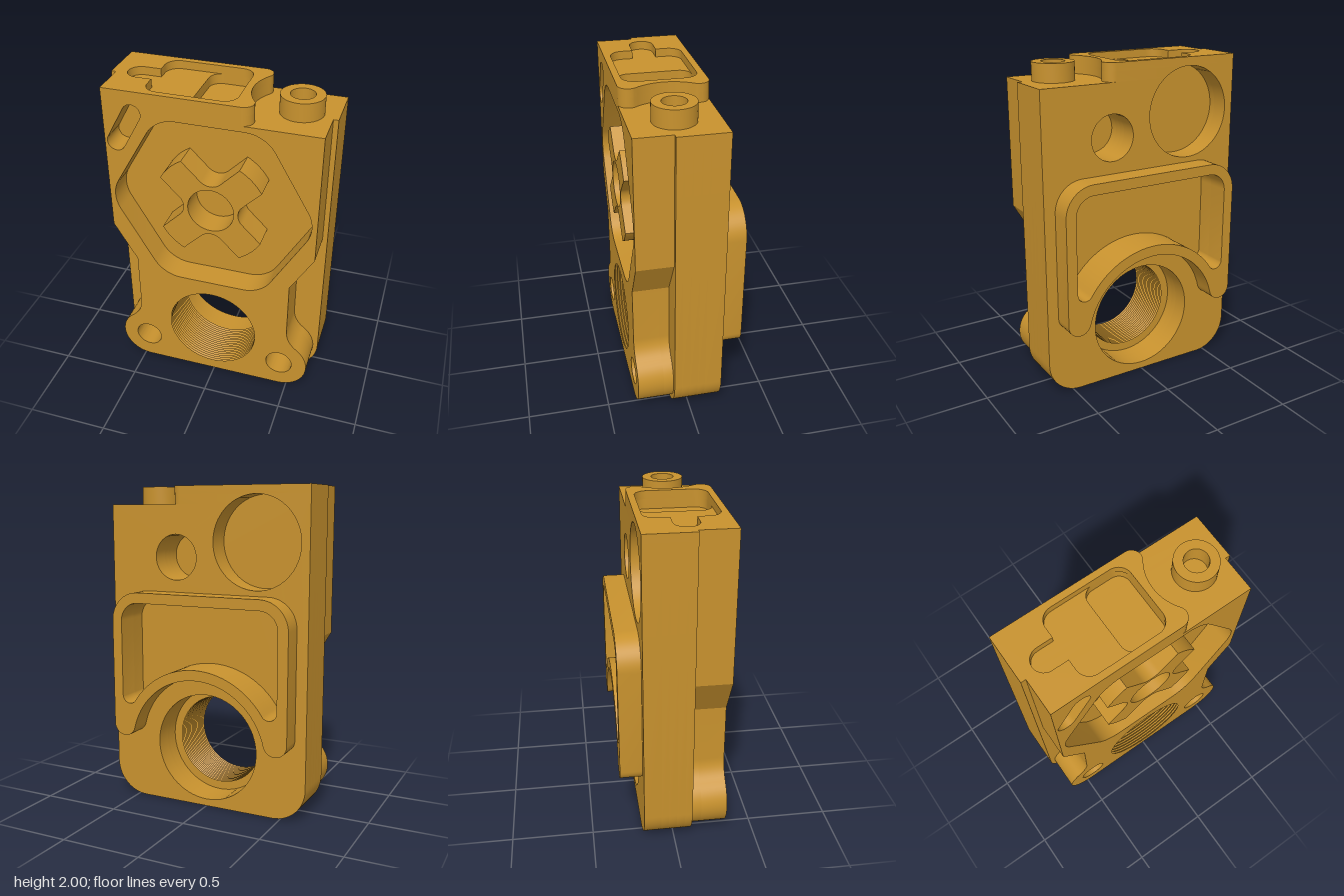
import * as THREE from 'three';
import { toCreasedNormals } from 'three/addons/utils/BufferGeometryUtils.js';

const PI = Math.PI;
const BORE_Y = 0.385; // height of the threaded bore
const FACE_Y = 1.31;  // height of the front pocket centre

// Points along an arc
function arc(cx, cy, r, a0, a1, n = 14) {
  return Array.from({ length: n + 1 }, (_, i) => {
    const a = a0 + (a1 - a0) * i / n;
    return [cx + r * Math.cos(a), cy + r * Math.sin(a)];
  });
}
const circle = (x, y, r) => arc(x, y, r, 0, 2 * PI, 64).slice(0, -1);
const mirror = pts => pts.map(([x, y]) => [-x, y]).reverse();

// Closed polygon with every corner rounded by r
function rounded(pts, r, n = 10) {
  return pts.flatMap((p, i) => {
    const c = new THREE.Vector2(...p);
    const u = new THREE.Vector2(...pts[(i + pts.length - 1) % pts.length]).sub(c).normalize();
    const v = new THREE.Vector2(...pts[(i + 1) % pts.length]).sub(c).normalize();
    const half = Math.acos(u.dot(v)) / 2;
    const m = u.clone().add(v).normalize().multiplyScalar(r / Math.sin(half)).add(c);
    const t0 = u.multiplyScalar(r / Math.tan(half)).add(c).sub(m);
    const t1 = v.multiplyScalar(r / Math.tan(half)).add(c).sub(m);
    const a0 = Math.atan2(t0.y, t0.x);
    let d = Math.atan2(t1.y, t1.x) - a0;
    if (d > PI) d -= 2 * PI;
    if (d < -PI) d += 2 * PI;
    return arc(m.x, m.y, r, a0, a0 + d, n);
  });
}

// Extrudes an outline with holes between two depths
function slab(outline, holes, from, to) {
  const vec = pts => pts.map(p => new THREE.Vector2(...p));
  const shape = new THREE.Shape(vec(outline));
  shape.holes = holes.map(h => new THREE.Path(vec(h)));
  const g = new THREE.ExtrudeGeometry(shape, { depth: to - from, bevelEnabled: false });
  g.translate(0, 0, from);
  return toCreasedNormals(g, 0.5);
}
// The same, standing upright: outline is (x, -z)
const upright = (outline, holes, from, to) => slab(outline, holes, from, to).rotateX(-PI / 2);

// Rounded frame standing on two round feet, with an arch over the bore
function archOutline(fx, fy, fr, corner, top) {
  const a = Math.atan2(fy - BORE_Y, fx);
  const R = Math.hypot(fx, fy - BORE_Y) - fr;
  const X = fx + fr;
  const right = [
    ...arc(fx, fy, fr, PI + a, 2 * PI),
    ...arc(X - corner, top - corner, corner, 0, PI / 2),
  ];
  return [...arc(0, BORE_Y, R, PI - a, a, 48).slice(1, -1), ...right, ...mirror(right)];
}

// Top block outline in (x, -z), with a concave end around the boss
function topOutline(leftEdge) {
  const a = Math.atan2(0.1975, 0.275), R = Math.hypot(0.1975, 0.275) - 0.06;
  return [
    ...arc(0.175, -0.265, 0.06, -PI / 2, a),
    ...arc(0.45, -0.0675, R, PI + a, PI - a, 24).slice(1, -1),
    ...arc(0.175, 0.13, 0.06, -a, PI / 2),
    ...leftEdge,
  ];
}

export function createModel() {
  const model = new THREE.Group();
  model.name = 'housingBlock';
  const brass = new THREE.MeshStandardMaterial({ color: 0xc8922e });
  brass.name = 'brass';
  const add = (name, geometry) => {
    const mesh = new THREE.Mesh(geometry, brass);
    mesh.name = name;
    model.add(mesh);
    return mesh;
  };

  // Body outlines: the top steps up on the right-hand side
  const step = x => [[x, 1.89], [-0.135, 1.89], [-0.135, 1.95], [-x, 1.95]];
  const backCorner = arc(0.45, 0.21, 0.21, -PI / 2, 0);
  const back = [...backCorner, ...step(0.66), ...mirror(backCorner)];
  const lug = Math.atan2(0.28, 0.21);
  const frontSide = [
    ...arc(0.45, 0.21, 0.18, -PI / 2, lug, 20),
    ...arc(0.66, 0.49, 0.17, PI + lug, PI, 10).slice(1),
    [0.49, 0.85], [0.63, 1.09],
  ];
  const front = [...frontSide, ...step(0.63), ...mirror(frontSide)];

  // Holes and pockets
  const counterbore = circle(0, BORE_Y, 0.34);
  const bore = circle(0, BORE_Y, 0.3);
  const largeRecess = circle(-0.328, 1.668, 0.28);
  const smallRecess = circle(0.206, 1.57, 0.14);
  const archPocket = archOutline(0.475, 0.7, 0.05, 0.115, 1.29);
  const lugHoles = [-0.45, 0.45].map(x => circle(x, 0.21, 0.085));
  const hexPocket = rounded(Array.from({ length: 6 }, (_, i) =>
    [0.629 * Math.cos(i * PI / 3), FACE_Y + 0.629 * Math.sin(i * PI / 3)]), 0.2);
  const tilt = Math.atan2(0.19, 0.105);
  const slot = [
    ...arc(-0.455, 1.865, 0.055, tilt - PI / 2, tilt + PI / 2),
    ...arc(-0.56, 1.675, 0.055, tilt + PI / 2, tilt + 1.5 * PI),
  ];

  // Body, layered from back to front by the depth of each recess
  [
    ['backPlate', back, [counterbore, archPocket, largeRecess, smallRecess], -0.19, -0.085],
    ['backPlate', back, [counterbore, largeRecess, smallRecess], -0.085, -0.04],
    ['backPlate', back, [counterbore, smallRecess], -0.04, 0.01],
    ['backPlate', back, [bore, smallRecess], 0.01, 0.06],
    ['backPlate', back, [bore], 0.06, 0.105],
    ['frontPlate', front, [bore, ...lugHoles], 0.105, 0.165],
    ['frontPlate', front, [bore, ...lugHoles, hexPocket, slot], 0.165, 0.325],
  ].forEach(([name, ...args]) => add(name, slab(...args)));

  // Raised frame on the back
  add('archFrame', slab(archOutline(0.515, 0.51, 0.075, 0.18, 1.355), [archPocket], -0.325, -0.19));

  // Four-armed hub inside the front pocket
  const end = Math.atan2(0.303, 0.173);
  const hub = [];
  for (let k = 0; k < 4; k++) {
    const c = Math.cos(k * PI / 2), s = Math.sin(k * PI / 2);
    const arm = [
      ...arc(0, 0, 0.349, PI / 2 - end, end, 10),
      ...arc(0, 0.13 + 0.085 * Math.SQRT2, 0.085, -PI / 4, -0.75 * PI, 10),
    ];
    hub.push(...arm.map(([x, y]) => [x * c - y * s, FACE_Y + x * s + y * c]));
  }
  add('crossHub', slab(hub, [circle(0, FACE_Y, 0.14)], 0.165, 0.325));

  // Threaded lining of the bore
  const ridges = 18, pitch = 0.315 / ridges;
  const thread = [new THREE.Vector2(0.301, 0.325)];
  for (let i = 0; i <= ridges; i++) {
    thread.push(new THREE.Vector2(0.285, 0.325 - i * pitch));
    if (i < ridges) thread.push(new THREE.Vector2(0.298, 0.325 - (i + 0.5) * pitch));
  }
  thread.push(new THREE.Vector2(0.301, 0.01));
  const lining = toCreasedNormals(new THREE.LatheGeometry(thread, 64), 0.4).rotateX(PI / 2);
  lining.translate(0, BORE_Y, 0);
  add('boreThread', lining);

  // Top block with a stepped pocket and side slot
  const deepPocket = rounded([[-0.135, -0.285], [0.13, -0.285], [0.13, 0.15], [-0.135, 0.15]], 0.07);
  const wide = rounded([[-0.4, -0.285], [0.13, -0.285], [0.13, 0.15], [-0.4, 0.15]], 0.08);
  const widePocket = [
    ...wide, // ends on the left edge, where the slot joins
    ...arc(-0.4975, -0.0675, 0.0725, PI / 2, 1.5 * PI),
  ];
  // Start the pocket at its lower left corner so the slot closes the left edge
  const corner = 11;
  const slotEnd = arc(-0.4975, -0.0675, 0.0725, PI / 2, 1.5 * PI);
  widePocket.length = 0;
  widePocket.push(...wide.slice(0, 4 * corner), [-0.4, 0.005], ...slotEnd, [-0.4, -0.14]);
  add('topBlockLower', upright(topOutline([[-0.15, 0.19], [-0.15, -0.325]]), [deepPocket], 1.89, 1.95));
  add('topBlockUpper', upright(
    topOutline([[-0.66, 0.19], [-0.66, -0.105], [-0.63, -0.105], [-0.63, -0.325]]),
    [widePocket], 1.95, 2));

  // Hollow boss on the lower shoulder
  add('topBoss', upright(circle(0.45, -0.0675, 0.125), [circle(0.45, -0.0675, 0.07)], 1.89, 2));

  return model;
}
